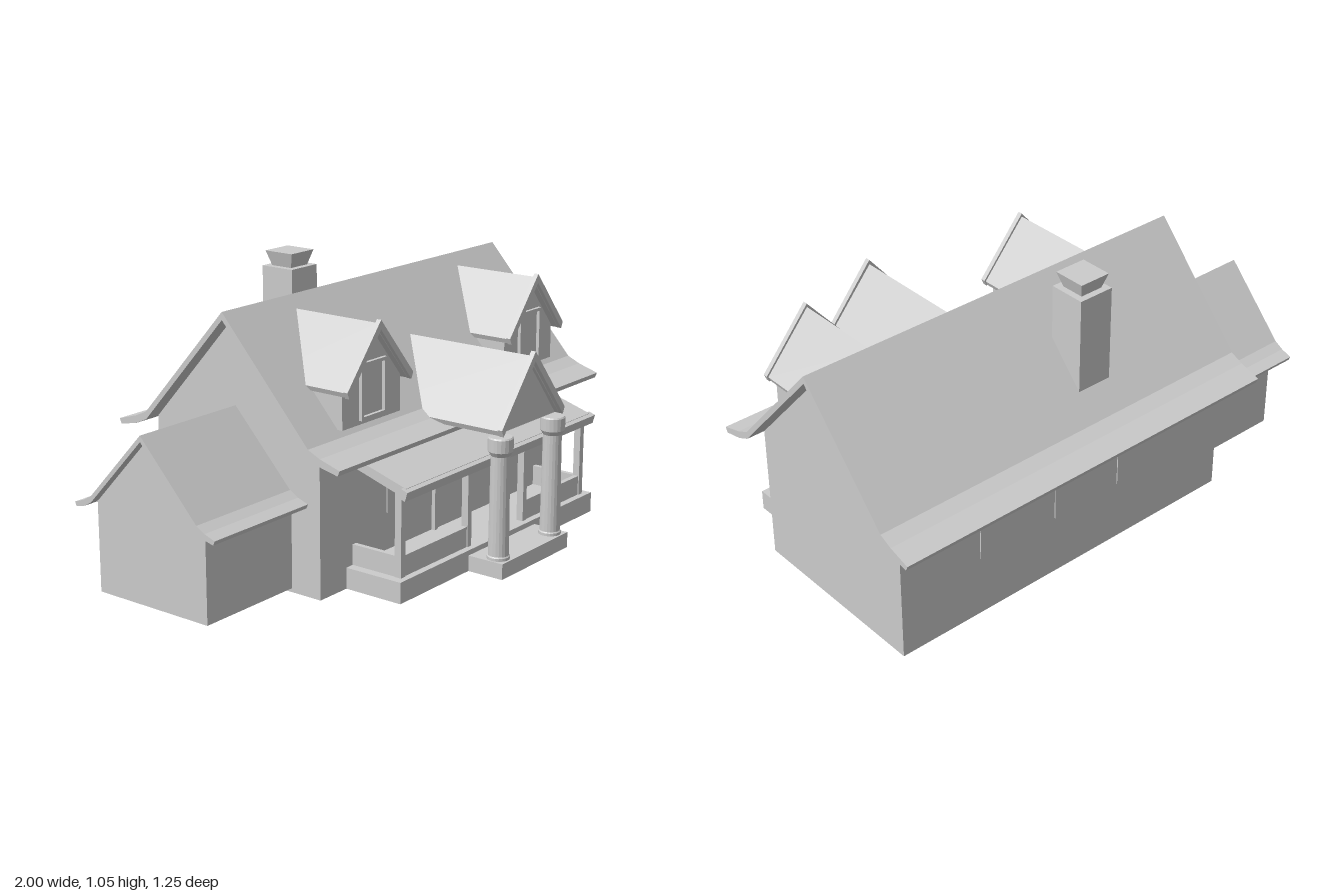
import * as THREE from 'three';

const MAT = new THREE.MeshStandardMaterial({ color: 0xcccccc, flatShading: true, side: THREE.DoubleSide });

export function createModel() {
  const house = new THREE.Group();
  house.name = 'house';

  function add(name, geometry, parent = house) {
    const mesh = new THREE.Mesh(geometry, MAT);
    mesh.name = name;
    parent.add(mesh);
    return mesh;
  }

  // Box given by its limits on each axis
  function box(name, x0, x1, y0, y1, z0, z1, parent) {
    const g = new THREE.BoxGeometry(x1 - x0, y1 - y0, z1 - z0);
    g.translate((x0 + x1) / 2, (y0 + y1) / 2, (z0 + z1) / 2);
    return add(name, g, parent);
  }

  // Profile of [across, y] points extruded along z from z0 to z1
  function prism(points, z0, z1) {
    const shape = new THREE.Shape(points.map(p => new THREE.Vector2(p[0], p[1])));
    const g = new THREE.ExtrudeGeometry(shape, { depth: z1 - z0, bevelEnabled: false });
    return g.translate(0, 0, z0);
  }

  // Half profile (ridge to eave) mirrored into a slab of thickness t
  function chevron(half, t) {
    const top = [...half.slice(1).reverse().map(p => [-p[0], p[1]]), ...half];
    const under = half.map((p, i) => i === half.length - 1 ? [p[0] - t * 0.3, p[1] - t * 0.7] : [p[0], p[1] - t]);
    return [...top, ...under.slice().reverse(), ...under.slice(1).map(p => [-p[0], p[1]])];
  }

  // Gabled walls, open at the bottom, ridge along x
  function gableWalls(name, x0, x1, y0, hw, eave, ridge) {
    const g = prism([[-hw, y0], [hw, y0], [hw, eave], [0, ridge], [-hw, eave]], x0, x1).toNonIndexed();
    const p = g.attributes.position, kept = [];
    for (let i = 0; i < p.count; i += 3) {
      const isFloor = [0, 1, 2].every(k => Math.abs(p.getY(i + k) - y0) < 1e-4);
      if (!isFloor) for (let k = 0; k < 3; k++) kept.push(p.getX(i + k), p.getY(i + k), p.getZ(i + k));
    }
    const open = new THREE.BufferGeometry();
    open.setAttribute('position', new THREE.Float32BufferAttribute(kept, 3));
    open.computeVertexNormals();
    open.rotateY(Math.PI / 2);
    add(name, open).position.z = -0.12;
  }

  function gableRoof(name, x0, x1, half, t) {
    const g = prism(chevron(half, t), x0, x1).rotateY(Math.PI / 2);
    add(name, g).position.z = -0.12;
  }

  // Main house and side wing
  gableWalls('mainWalls', -0.54, 0.93, 0, 0.37, 0.53, 0.93);
  gableRoof('mainRoof', -0.6, 1, [[0, 0.958], [0.37, 0.548], [0.42, 0.525], [0.503, 0.5]], 0.028);
  gableWalls('wingWalls', -0.965, -0.54, 0.015, 0.245, 0.345, 0.6);
  gableRoof('wingRoof', -1, -0.54, [[0, 0.622], [0.24, 0.367], [0.275, 0.347], [0.318, 0.332]], 0.022);

  // Chimney with flared cap
  box('chimney', -0.06, 0.08, 0.6, 0.995, -0.41, -0.27);
  const cap = new THREE.CylinderGeometry(0.062 * Math.SQRT2, 0.045 * Math.SQRT2, 0.055, 4, 1);
  cap.rotateY(Math.PI / 4).translate(0.01, 1.0225, -0.34);
  add('chimneyCap', cap);

  // Dormers
  for (const x of [-0.26, 0.705]) {
    const dormer = new THREE.Group();
    dormer.name = 'dormer';
    dormer.position.x = x;
    house.add(dormer);
    const walls = [[-0.16, 0.57], [0.16, 0.57], [0.16, 0.71], [0, 0.89], [-0.16, 0.71]];
    add('dormerWalls', prism(walls, -0.05, 0.25), dormer);
    add('dormerRoof', prism(chevron([[0, 0.915], [0.176, 0.708]], 0.025), -0.09, 0.275), dormer);
    add('dormerTrim', prism(chevron([[0, 0.928], [0.182, 0.712]], 0.034), 0.272, 0.29), dormer);
    const frame = new THREE.Shape([[-0.07, 0.585], [0.07, 0.585], [0.07, 0.785], [-0.07, 0.785]].map(p => new THREE.Vector2(...p)));
    frame.holes.push(new THREE.Path([[-0.058, 0.597], [-0.058, 0.773], [0.058, 0.773], [0.058, 0.597]].map(p => new THREE.Vector2(...p))));
    add('dormerWindowFrame', new THREE.ExtrudeGeometry(frame, { depth: 0.015, bevelEnabled: false }).translate(0, 0, 0.248), dormer);
  }

  // Porch, centred on the front door
  const porch = new THREE.Group();
  porch.name = 'porch';
  porch.position.x = 0.21;
  house.add(porch);
  box('porchFloor', -0.61, 0.61, 0, 0.077, 0.25, 0.482, porch);
  box('frontStep', -0.212, 0.212, 0, 0.058, 0.482, 0.625, porch);
  box('doorFrame', -0.115, -0.097, 0.077, 0.395, 0.245, 0.265, porch);
  box('doorFrame', 0.097, 0.115, 0.077, 0.395, 0.245, 0.265, porch);
  box('doorFrame', -0.097, 0.097, 0.377, 0.395, 0.245, 0.265, porch);
  box('door', -0.097, 0.097, 0.077, 0.377, 0.245, 0.254, porch);

  // Sloping porch roof and its front board
  const slab = prism([[-0.485, 0.362], [-0.25, 0.435], [-0.25, 0.47], [-0.48, 0.4]], -0.58, 0.58);
  add('porchRoof', slab.rotateY(Math.PI / 2), porch);
  const board = prism([[-0.487, 0.36], [-0.497, 0.393], [-0.47, 0.402], [-0.46, 0.369]], -0.595, 0.595);
  add('porchRoofBoard', board.rotateY(Math.PI / 2), porch);

  for (const s of [-1, 1]) {
    const span = (name, a, b, ...rest) => box(name, Math.min(s * a, s * b), Math.max(s * a, s * b), ...rest, porch);
    span('outerPost', 0.553, 0.578, 0.077, 0.39, 0.433, 0.46);
    span('innerPost', 0.165, 0.188, 0.077, 0.39, 0.433, 0.46);
    span('frontRailing', 0.188, 0.553, 0.077, 0.152, 0.437, 0.456);
    span('sideRailing', 0.556, 0.575, 0.077, 0.152, 0.25, 0.433);
    span('frontWindow', 0.255, 0.385, 0.215, 0.375, 0.245, 0.254);

    // Round column with widened foot and capital
    const profile = [[0, 0.058], [0.041, 0.058], [0.041, 0.068], [0.037, 0.072], [0.034, 0.435],
      [0.045, 0.452], [0.045, 0.498], [0.041, 0.503], [0, 0.503]].map(p => new THREE.Vector2(...p));
    const column = add('column', new THREE.LatheGeometry(profile, 20), porch);
    column.position.set(s * 0.166, 0, 0.577);
  }

  // Entrance gable over the columns
  add('entranceGable', prism([[-0.18, 0.512], [0.18, 0.512], [0, 0.735]], 0.2, 0.575), porch);
  add('entranceRoof', prism(chevron([[0, 0.757], [0.195, 0.528]], 0.026), 0.04, 0.588), porch);
  add('entranceTrim', prism(chevron([[0, 0.775], [0.2, 0.534]], 0.036), 0.585, 0.604), porch);

  // Back windows
  for (const [x, w] of [[-0.1, 0.13], [0.2, 0.12], [0.53, 0.13]]) {
    box('backWindow', x - w / 2, x + w / 2, 0.235, 0.385, -0.494, -0.485);
  }
  return house;
}
